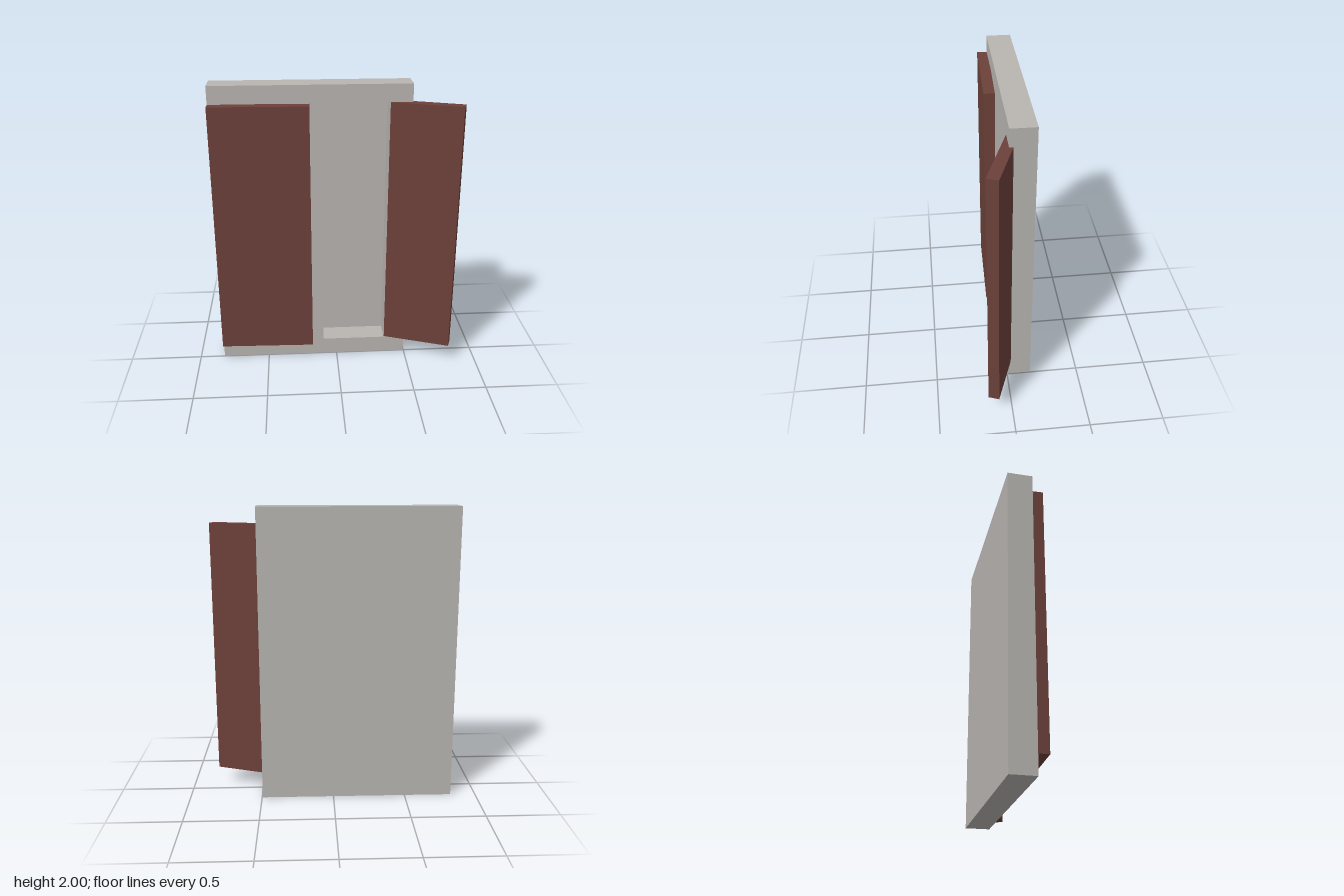
import * as THREE from 'three';

const frameMat = new THREE.MeshStandardMaterial({ color: 0xb9b6b2 });
frameMat.name = 'pale grey frame';
const doorMat = new THREE.MeshStandardMaterial({ color: 0x6d413a });
doorMat.name = 'red brown door';

const LEFT = -0.826, RIGHT = 0.496, HEIGHT = 2, DEPTH = 0.165, BACK = 0.01;
const DOOR_H = 1.755, DOOR_T = 0.074, DOOR_Y = 1.003;

function rectangle(ShapeType, x0, y0, x1, y1) {
  const s = new ShapeType();
  s.moveTo(x0, y0);
  s.lineTo(x1, y0);
  s.lineTo(x1, y1);
  s.lineTo(x0, y1);
  s.closePath();
  return s;
}

// Slab whose front face starts at (x, z) and swings forward by the angle
function door(name, x, z, width, degrees) {
  const geo = new THREE.BoxGeometry(width, DOOR_H, DOOR_T);
  geo.translate(width / 2, 0, -DOOR_T / 2);
  const mesh = new THREE.Mesh(geo, doorMat);
  mesh.name = name;
  mesh.position.set(x, DOOR_Y, z);
  mesh.rotation.y = -THREE.MathUtils.degToRad(degrees);
  return mesh;
}

export function createModel() {
  const model = new THREE.Group();
  model.name = 'cabinet';

  // Frame with two tall openings either side of a centre post
  const outline = rectangle(THREE.Shape, LEFT, 0, RIGHT, HEIGHT);
  for (const [x0, x1] of [[-0.677, -0.235], [-0.095, 0.349]]) {
    outline.holes.push(rectangle(THREE.Path, x0, 0.12, x1, 1.88));
  }
  const frameGeo = new THREE.ExtrudeGeometry(outline, { depth: DEPTH - BACK, bevelEnabled: false });
  frameGeo.translate(0, 0, BACK - DEPTH);
  const frame = new THREE.Mesh(frameGeo, frameMat);
  frame.name = 'frame';
  model.add(frame);

  // Thin panel closing the openings behind
  const back = new THREE.Mesh(new THREE.BoxGeometry(RIGHT - LEFT, HEIGHT, BACK), frameMat);
  back.name = 'backPanel';
  back.position.set((LEFT + RIGHT) / 2, HEIGHT / 2, BACK / 2 - DEPTH);
  model.add(back);

  // One door almost shut, the other standing ajar
  model.add(door('closedDoor', -0.827, 0.067, 0.65, 1.4));
  model.add(door('openDoor', 0.35, 0, 0.476, 19.8));

  return model;
}
